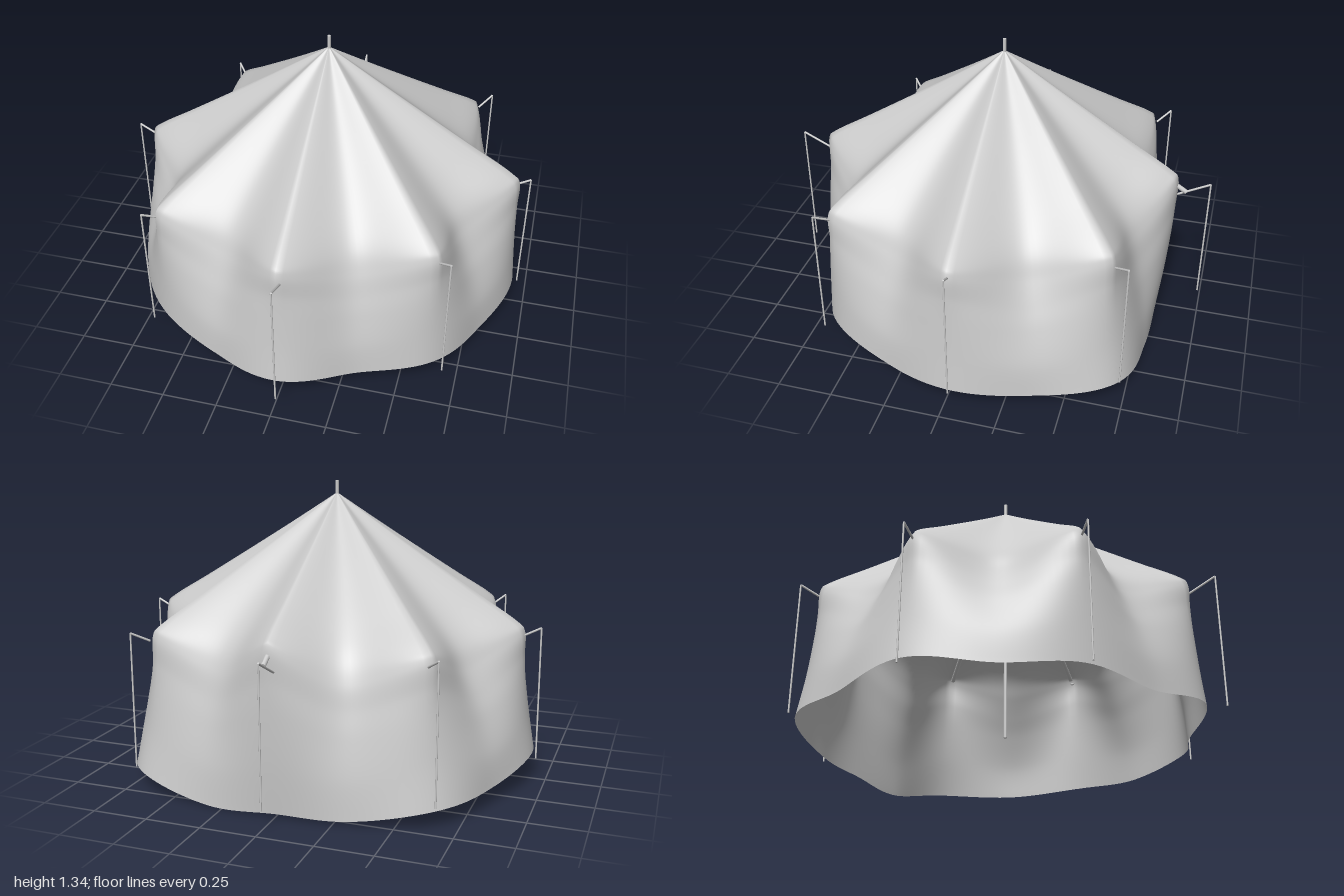
import * as THREE from 'three';

const mat = new THREE.MeshStandardMaterial({ color: 0xcccccc, side: THREE.DoubleSide });
const CX = 0.005, CZ = -0.025, APEX = 1.28, BACK = 12;
const lerp = THREE.MathUtils.lerp;

// Stations every 22.5 degrees from +x towards +z: even = corner, odd = middle of a panel
const eaveR = [0.905, 0.74, 0.89, 0.73, 0.895, 0.74, 0.89, 0.75, 0.89, 0.75, 0.89, 0.73, 0.82, 0.73, 0.89, 0.75];
const hemR = [0.93, 0.88, 0.91, 0.83, 0.93, 0.87, 0.9, 0.91, 0.945, 0.91, 0.95, 0.82, 0.775, 0.83, 0.97, 0.91];
const hemY = [0.1, 0.075, 0.115, 0.085, 0.12, 0.085, 0.115, 0.09, 0.13, 0.085, 0.08, 0.015, 0.01, 0, 0.08, 0.07];

// Vertical cloth profile at one station, as a smooth curve of (radius, y)
function profile(k) {
  const corner = k % 2 === 0, R = eaveR[k], pts = [];
  const lift = k === BACK ? 0.045 : 0;
  const eaveY = corner ? 0.69 + lift : 0.57;
  const roof = corner
    ? [[0, APEX], [0.25, 1.134], [0.5, 0.992], [0.75, 0.852], [0.95, 0.742]]
    : [[0, APEX], [0.26, 1.118], [0.53, 0.95], [0.79, 0.78], [0.93, 0.67]];
  roof.forEach(([f, y]) => pts.push(new THREE.Vector2(f * R, y + lift * f)));
  for (const s of [0, 0.2, 0.4, 0.7, 1]) {
    const e = corner ? s * s : Math.sin(s * Math.PI / 2);
    pts.push(new THREE.Vector2(lerp(R, hemR[k], e), lerp(eaveY, hemY[k], s)));
  }
  return new THREE.SplineCurve(pts);
}

// Smooth cubic through b and c with neighbours a and d
const cubic = (a, b, c, d, t) =>
  b + 0.5 * t * (c - a + t * (2 * a - 5 * b + 4 * c - d + t * (3 * (b - c) + d - a)));

// Canopy: roof and wall in one cloth, draped between the eight corners
function canopyGeometry() {
  const rows = 72, perHalf = 12, cols = 16 * perHalf;
  const curves = eaveR.map((_, k) => profile(k));
  const pos = [], index = [];
  for (let i = 0; i <= rows; i++) {
    const v = i / rows;
    const ring = curves.map(c => c.getPoint(v));
    const soft = lerp(0.3, 1, THREE.MathUtils.smoothstep(v, 0.5, 0.9));
    for (let j = 0; j < cols; j++) {
      const k = Math.floor(j / perHalf), f = (j % perHalf) / perHalf;
      const [a, b, c, d] = [15, 0, 1, 2].map(o => ring[(k + o) % 16]);
      // w pulls the cloth tight at the corners and slack in between
      const w = k % 2 === 0 ? Math.sin(f * Math.PI / 2) : 1 - Math.cos(f * Math.PI / 2);
      const drape = key => lerp(lerp(b[key], c[key], w), cubic(a[key], b[key], c[key], d[key], f), soft);
      const r = drape('x'), angle = j / cols * Math.PI * 2;
      pos.push(CX + r * Math.cos(angle), drape('y'), CZ + r * Math.sin(angle));
      if (i < rows) {
        const j2 = (j + 1) % cols, p = i * cols, q = p + cols;
        if (i > 0) index.push(p + j, p + j2, q + j);
        index.push(p + j2, q + j2, q + j);
      }
    }
  }
  const g = new THREE.BufferGeometry();
  g.setAttribute('position', new THREE.Float32BufferAttribute(pos, 3));
  g.setIndex(index);
  g.computeVertexNormals();
  return g;
}

// Round rod between two points
function rod(name, a, b, radius) {
  const dir = b.clone().sub(a);
  const mesh = new THREE.Mesh(new THREE.CylinderGeometry(radius, radius, dir.length(), 10), mat);
  mesh.position.copy(a).add(b).multiplyScalar(0.5);
  mesh.quaternion.setFromUnitVectors(new THREE.Vector3(0, 1, 0), dir.normalize());
  mesh.name = name;
  return mesh;
}

export function createModel() {
  const group = new THREE.Group();
  group.name = 'tent';
  const V = (x, y, z) => new THREE.Vector3(x, y, z);

  const canopy = new THREE.Mesh(canopyGeometry(), mat);
  canopy.name = 'canopy';
  group.add(canopy);

  // Centre pole, standing proud of the roof
  group.add(rod('centrePole', V(CX, 0.1, CZ), V(CX, 1.335, CZ), 0.008));

  // Thin outer posts in the same order as the corners
  const posts = [[0.957, -0.03], [0.692, 0.65], [0.024, 0.99], [-0.67, 0.65],
    [-0.957, -0.03], [-0.67, -0.73], [-0.022, -0.99], [0.7, -0.73]];
  posts.forEach(([x, z], i) => {
    const a = i * Math.PI / 4, R = eaveR[i * 2], back = i * 2 === BACK;
    const at = (r, y) => V(CX + r * Math.cos(a), y, CZ + r * Math.sin(a));
    const reach = back ? 0.83 : i === 2 ? 0.87 : 0.915;
    const armY = back ? 0.63 : i === 2 ? 0.65 : 0.672;
    group.add(rod('guyPost', V(x, 0.105, z), V(x, 0.715, z), 0.004));
    group.add(rod('guyArm', V(x, 0.715, z), V(x * reach, armY, z * reach), 0.005));
    // Rafter under each ridge; the one at the back pokes out of the cloth
    const end = back ? at(0.86, 0.675) : at(R - 0.05, 0.69);
    group.add(rod('rafter', at(0.03, 1.21), end, 0.011));
  });
  return group;
}
